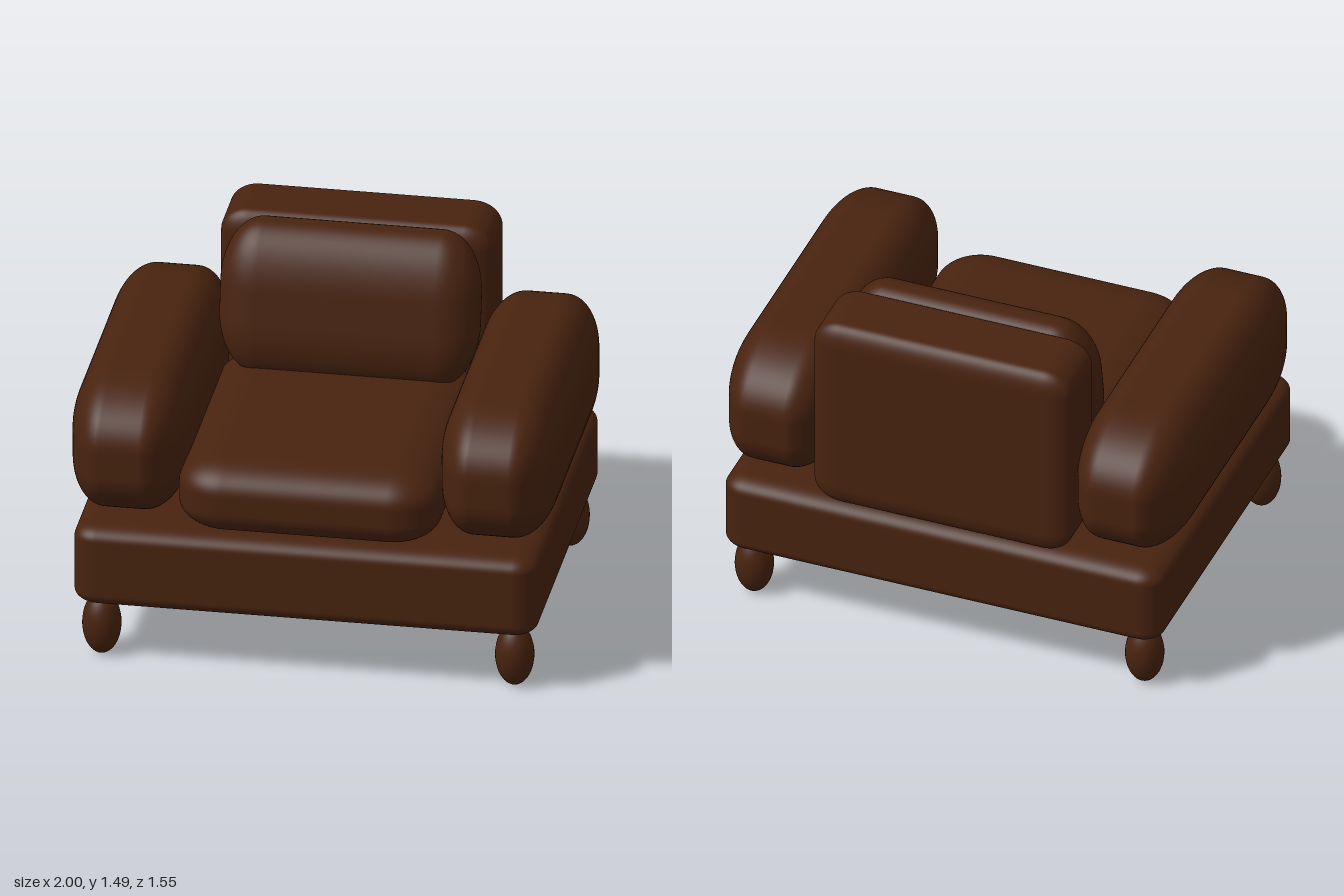
import * as THREE from 'three';
import { RoundedBoxGeometry } from 'three/addons/geometries/RoundedBoxGeometry.js';

// Padded block between two corners, with its own rounding radius on each axis
function softBox(min, max, r) {
  const size = max.map((v, i) => v - min[i]);
  const g = new RoundedBoxGeometry(size[0] / r[0], size[1] / r[1], size[2] / r[2], 8, 1);
  g.scale(...r);
  g.translate(...max.map((v, i) => (v + min[i]) / 2));
  return g;
}

export function createModel() {
  const group = new THREE.Group();
  const leather = new THREE.MeshStandardMaterial({ color: 0x48230f });
  leather.name = 'brown leather';

  const add = (name, geometry) => {
    const mesh = new THREE.Mesh(geometry, leather);
    mesh.name = name;
    group.add(mesh);
    return mesh;
  };

  // Base and seat
  add('base', softBox([-0.955, 0.25, -0.775], [0.955, 0.605, 0.775], [0.1, 0.06, 0.09]));
  add('seatCushion', softBox([-0.54, 0.595, -0.5], [0.54, 0.91, 0.772], [0.2, 0.12, 0.18]));

  // Backrest
  add('backrest', softBox([-0.56, 0.6, -0.775], [0.56, 1.485, -0.44], [0.12, 0.1, 0.06]));

  // Back cushion, leaning backwards by a shear
  const cushion = softBox([-0.535, 0.86, -0.495], [0.535, 1.49, -0.195], [0.17, 0.25, 0.14]);
  const lean = 0.18, pivot = 1.18;
  cushion.applyMatrix4(new THREE.Matrix4().set(
    1, 0, 0, 0,
    0, 1, 0, 0,
    0, -lean, 1, lean * pivot,
    0, 0, 0, 1));
  add('backCushion', cushion);

  // Arms and egg-shaped feet, mirrored
  for (const s of [1, -1]) {
    const side = s > 0 ? 'left' : 'right';
    const arm = softBox([-0.24, 0.6, -0.775], [0.24, 1.19, 0.775], [0.16, 0.24, 0.36]);
    add(side + 'Arm', arm).position.x = s * 0.76;

    for (const f of [1, -1]) {
      const foot = new THREE.SphereGeometry(1, 32, 20).scale(0.08, 0.135, 0.08);
      add(side + (f > 0 ? 'FrontFoot' : 'BackFoot'), foot).position.set(s * 0.85, 0.135, f * 0.65);
    }
  }
  return group;
}
